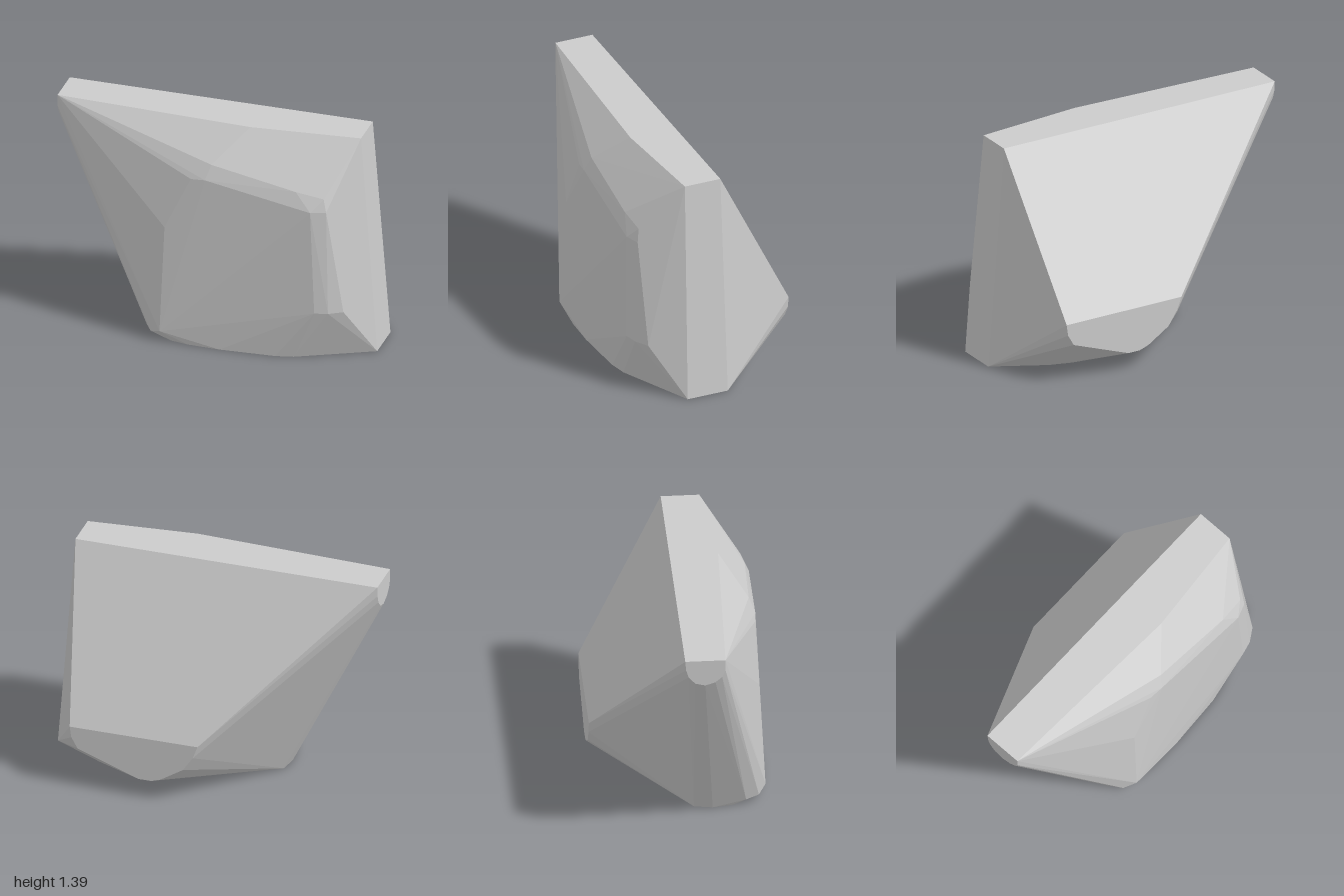
import * as THREE from 'three';
import { ConvexGeometry } from 'three/addons/geometries/ConvexGeometry.js';

// Flat faces are given as outlines in their own plane; the block is the convex body around them.
const onX = (x, pts) => pts.map(([z, y]) => new THREE.Vector3(x, y, z));
const onY = (y, pts) => pts.map(([x, z]) => new THREE.Vector3(x, y, z));
const onZ = (z, pts) => pts.map(([x, y]) => new THREE.Vector3(x, y, z));

export function createModel() {
  const group = new THREE.Group();

  // Flat top strip
  const top = onY(1.39, [[-1, -0.02], [-1, 0.22], [0.22, 0.27], [0.89, 0.21], [0.89, -0.02]]);

  // Flat base with rounded far end
  const base = onY(0, [
    [1, -0.02], [1, 0.24], [0.55, 0.46], [0.44, 0.485], [0.1, 0.505], [-0.1, 0.5], [-0.21, 0.48],
    [-0.32, 0.4], [-0.38, 0.31], [-0.4, 0.19], [-0.38, 0.08], [0.4, -0.24], [0.55, -0.23], [0.68, -0.19],
  ]);

  // Small end face of the overhanging tip
  const tip = onX(-1, [[-0.015, 1.33], [0, 1.28], [0.04, 1.235], [0.1, 1.22], [0.16, 1.24], [0.2, 1.275], [0.22, 1.32]]);

  // Flat rear face, rounded underneath
  const rear = onZ(-0.52, [
    [0.76, 0.4], [0.75, 0.33], [0.71, 0.26], [0.33, 0.12], [0.25, 0.12],
    [0.19, 0.14], [0.05, 0.23], [-0.01, 0.32], [-0.04, 0.4],
  ]);

  // Worn, faceted front face
  const front = [
    [0.03, 1.19, 0.438], [-0.09, 1.09, 0.465], [0, 1.1, 0.475], [0.56, 1.1, 0.455], [0.66, 0.99, 0.487],
    [0.73, 1.07, 0.44], [0.75, 0.99, 0.455], [-0.32, 0.78, 0.455], [-0.25, 0.75, 0.48],
    [0.69, 0.33, 0.5], [0.77, 0.33, 0.48], [0.85, 0.33, 0.43], [-0.27, 0.07, 0.515], [-0.34, 0.04, 0.47], [-0.39, 0.04, 0.39],
  ].map((p) => new THREE.Vector3(...p));

  const block = new THREE.Mesh(
    new ConvexGeometry([...top, ...base, ...tip, ...rear, ...front]),
    new THREE.MeshStandardMaterial({ color: 0xcccccc, flatShading: true }),
  );
  block.name = 'facetedBlock';
  group.add(block);
  return group;
}
